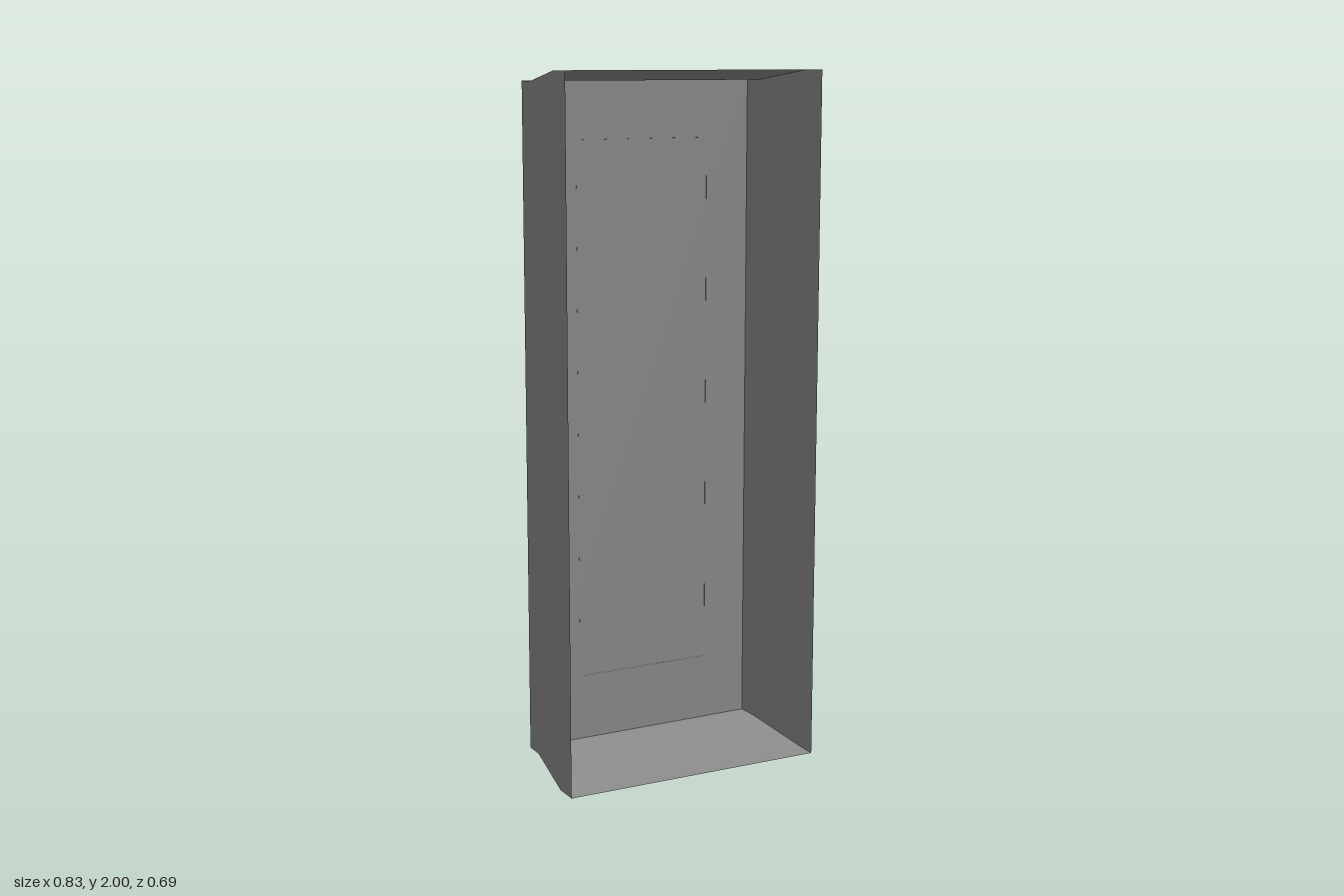
import * as THREE from 'three';

// Four-sided shell lofted from front to back: open at the front, closed at the back.
// Each ring is [leftX, leftZ, rightX, rightZ, bottomY, topY].
function loftShell(rings) {
  const corners = rings.map(([xl, zl, xr, zr, y0, y1]) => [
    [xl, y0, zl], [xr, y0, zr], [xr, y1, zr], [xl, y1, zl],
  ]);
  const positions = [];
  const index = [];
  // Each side has its own vertices, so it is smooth along its depth and sharp at the corners
  for (let side = 0; side < 4; side++) {
    const start = positions.length / 3;
    corners.forEach((ring, i) => {
      positions.push(...ring[side], ...ring[(side + 1) % 4]);
      if (i === 0) return;
      const q = start + i * 2;
      index.push(q - 2, q, q + 1, q - 2, q + 1, q - 1);
    });
  }
  // Back panel
  const base = positions.length / 3;
  for (const corner of corners[corners.length - 1]) positions.push(...corner);
  index.push(base, base + 3, base + 2, base, base + 2, base + 1);

  const geometry = new THREE.BufferGeometry();
  geometry.setAttribute('position', new THREE.Float32BufferAttribute(positions, 3));
  geometry.setIndex(index);
  geometry.computeVertexNormals();
  return geometry;
}

export function createModel() {
  const group = new THREE.Group();
  group.name = 'openCasing';
  const grey = new THREE.MeshStandardMaterial({ color: 0x8e8e8e, side: THREE.DoubleSide });
  grey.name = 'grey';

  // Open casing with gently curved, tapering walls
  const casing = new THREE.Mesh(loftShell([
    [-0.415, 0.035, 0.305, 0.341, 0, 2],
    [-0.39, -0.03, 0.337, 0.265, 0, 2],
    [-0.28, -0.22, 0.393, 0.055, 0.03, 1.97],
    [-0.257, -0.275, 0.413, -0.003, 0.03, 1.97],
  ]), grey);
  casing.name = 'casing';

  // Tapered housing on the back
  const housing = new THREE.Mesh(loftShell([
    [-0.105, -0.213, 0.286, -0.054, 0.225, 1.805],
    [-0.02, -0.344, 0.318, -0.205, 0.28, 1.75],
  ]), grey);
  housing.name = 'rearHousing';

  group.add(casing, housing);
  return group;
}
